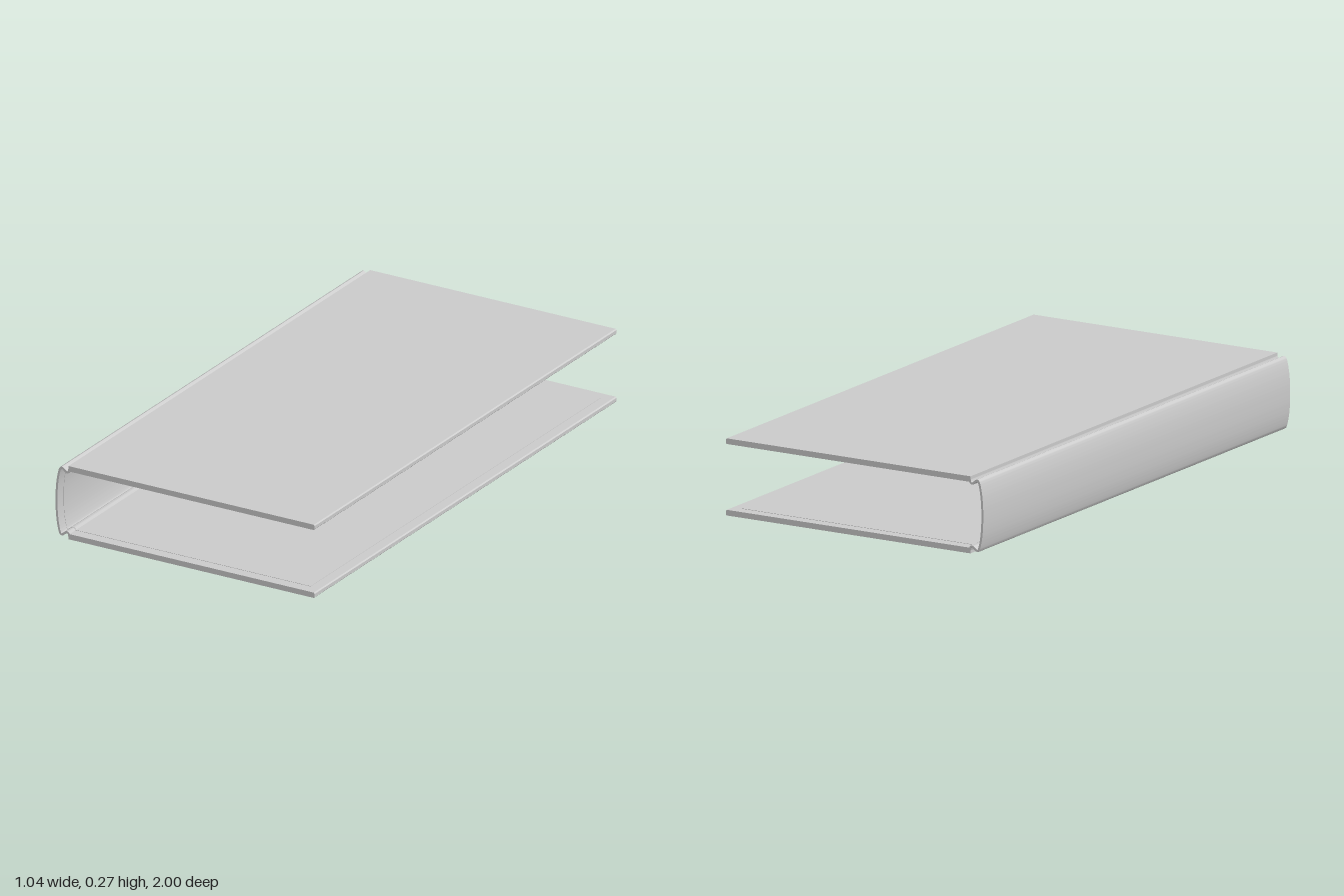
import * as THREE from 'three';
import { toCreasedNormals } from 'three/addons/utils/BufferGeometryUtils.js';

const MID = 0.137; // mirror height between the two boards
const material = new THREE.MeshStandardMaterial({ color: 0xcccccc });

// Extrude an outline lying in x/y, centred on z
function slab(name, points, length) {
  const shape = new THREE.Shape(points);
  const geo = new THREE.ExtrudeGeometry(shape, { depth: length, bevelEnabled: false, steps: 1 });
  geo.translate(0, 0, -length / 2);
  const mesh = new THREE.Mesh(toCreasedNormals(geo, 0.6), material);
  mesh.name = name;
  return mesh;
}

// Closed outline between two offsets of an open curve
function ribbon(curve, from, to, count) {
  const side = (d) => {
    const out = [];
    for (let i = 0; i <= count; i++) {
      const p = curve.getPointAt(i / count), t = curve.getTangentAt(i / count);
      out.push(new THREE.Vector2(p.x - t.y * d, p.y + t.x * d));
    }
    return out;
  };
  return [...side(from), ...side(to).reverse()];
}

export function createModel() {
  const group = new THREE.Group();
  group.name = 'bookCover';
  const v = (x, y) => new THREE.Vector2(x, y);

  // Flat boards with a softened free edge, and the thin lining on their inner faces
  const board = [
    [-0.47, 0.254], [0.517, 0.254], [0.521, 0.258], [0.521, 0.27], [0.517, 0.274], [-0.47, 0.274],
  ];
  const lining = [[-0.465, 0.2528], [0.48, 0.2528], [0.48, 0.255], [-0.465, 0.255]];
  const place = (outline, top) => outline.map(([x, y]) => v(x, top ? y : 2 * MID - y));
  for (const [label, top] of [['top', true], ['bottom', false]]) {
    group.add(slab(label + 'Board', place(board, top), 2));
    group.add(slab(label + 'Lining', place(lining, top), 1.92));
  }

  // Spine: hinge groove, shoulder and shallow arc, mirrored about the middle
  const half = [
    [-0.467, 0.262], [-0.47, 0.252], [-0.477, 0.249], [-0.486, 0.255], [-0.497, 0.262],
    [-0.505, 0.253], [-0.513, 0.216], [-0.517, 0.176],
  ];
  const path = [
    ...half.map(([x, y]) => v(x, y)),
    v(-0.518, MID),
    ...half.slice().reverse().map(([x, y]) => v(x, 2 * MID - y)),
  ];
  const curve = new THREE.SplineCurve(path);
  group.add(slab('spine', ribbon(curve, -0.004, 0.004, 90), 2));
  group.add(slab('spineLining', ribbon(curve, 0.0035, 0.005, 90), 1.92));

  return group;
}
